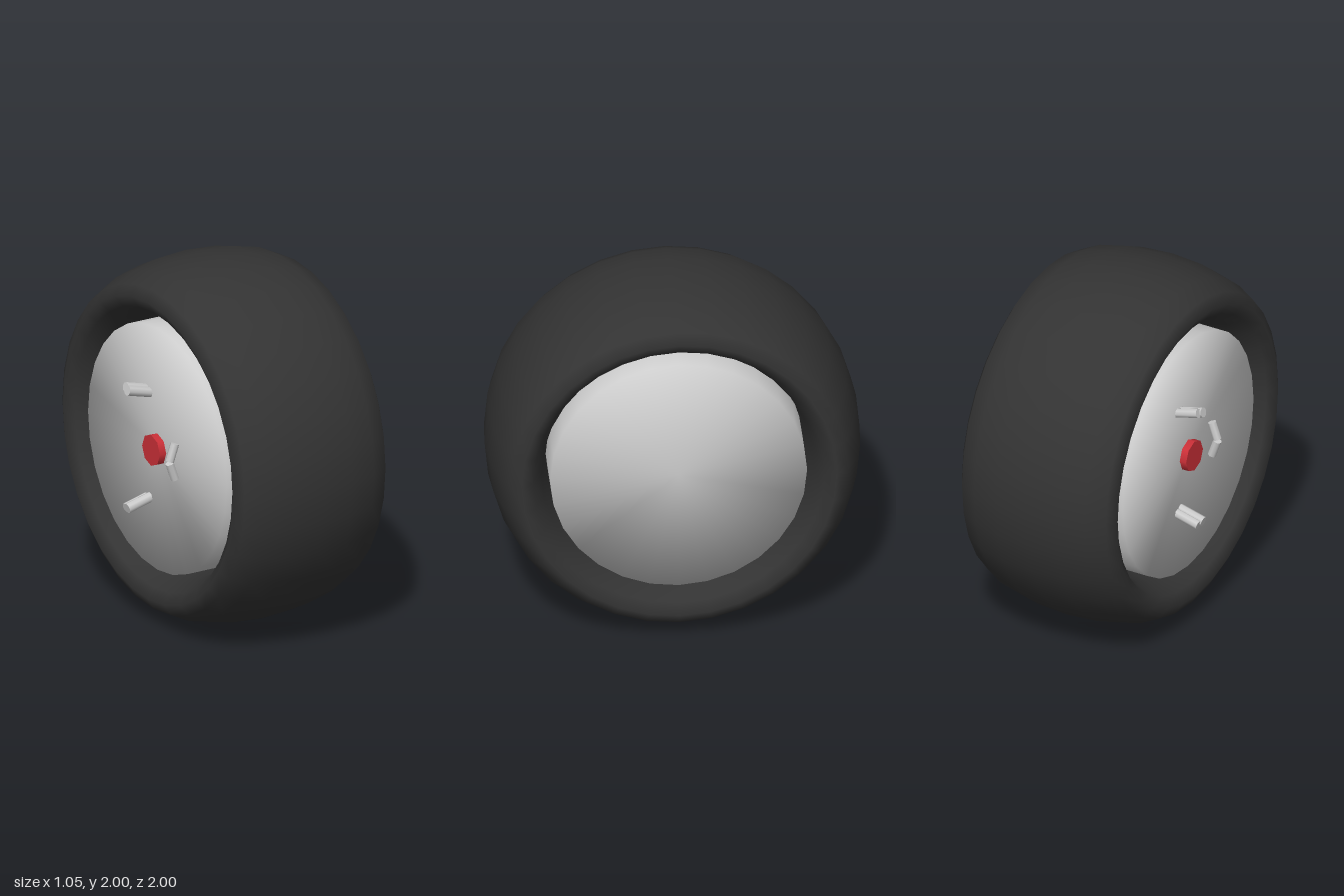
import * as THREE from 'three';
import { mergeVertices } from 'three/addons/utils/BufferGeometryUtils.js';

const paint = (color) => new THREE.MeshStandardMaterial({ color });

// Weld a geometry so its shading runs smoothly over the edges
function soften(geometry) {
  geometry.deleteAttribute('normal');
  geometry.deleteAttribute('uv');
  const welded = mergeVertices(geometry);
  welded.computeVertexNormals();
  return welded;
}

export function createModel() {
  const model = new THREE.Group();
  const grey = paint(0xcccccc);
  const add = (name, geometry, material, parent = model) => {
    const mesh = new THREE.Mesh(geometry, material);
    mesh.name = name;
    parent.add(mesh);
    return mesh;
  };

  // Everything is placed around the axle, which lies along x
  const wheel = new THREE.Group();
  wheel.name = 'wheel';
  wheel.position.y = 1;
  model.add(wheel);

  // Tyre: a torus stretched along the axle
  const tyreShape = new THREE.TorusGeometry(0.84, 0.16, 16, 32);
  tyreShape.scale(1, 1, 3).rotateY(Math.PI / 2);
  add('tyre', tyreShape, paint(0x333333), wheel).position.x = 0.04;

  // Rim: a closed drum filling the tyre
  const rimShape = soften(new THREE.CylinderGeometry(0.685, 0.685, 0.84, 28));
  rimShape.rotateZ(Math.PI / 2);
  add('rim', rimShape, grey, wheel).position.x = 0.04;

  // Red hub cap on the inner side
  const capShape = new THREE.CylinderGeometry(0.088, 0.088, 0.06, 8);
  capShape.rotateZ(Math.PI / 2);
  add('hubCap', capShape, paint(0xcc3038), wheel).position.x = -0.39;

  // A rod whose outer end sits at tip and which runs back along direction
  const rod = (name, tip, direction, radius, length) => {
    const geometry = new THREE.CylinderGeometry(radius, radius, length, 8);
    geometry.translate(0, -length / 2, 0);
    const mesh = add(name, geometry, grey, wheel);
    mesh.position.set(...tip);
    mesh.quaternion.setFromUnitVectors(
      new THREE.Vector3(0, 1, 0), new THREE.Vector3(...direction).normalize());
  };

  for (const s of [1, -1]) {
    // Paired mounting rods, splayed away from the axle
    rod('mountRod', [-0.52, s * 0.335, -0.077], [-0.95, s * 0.25, 0], 0.028, 0.19);
    rod('mountRod', [-0.51, s * 0.343, -0.112], [-0.95, s * 0.25, 0], 0.026, 0.19);
    // Short stubs meeting in a shallow V beside the hub
    rod('stub', [-0.437, s * 0.005, 0.21], [-0.35, -s, 0], 0.024, 0.1);
  }
  return model;
}
